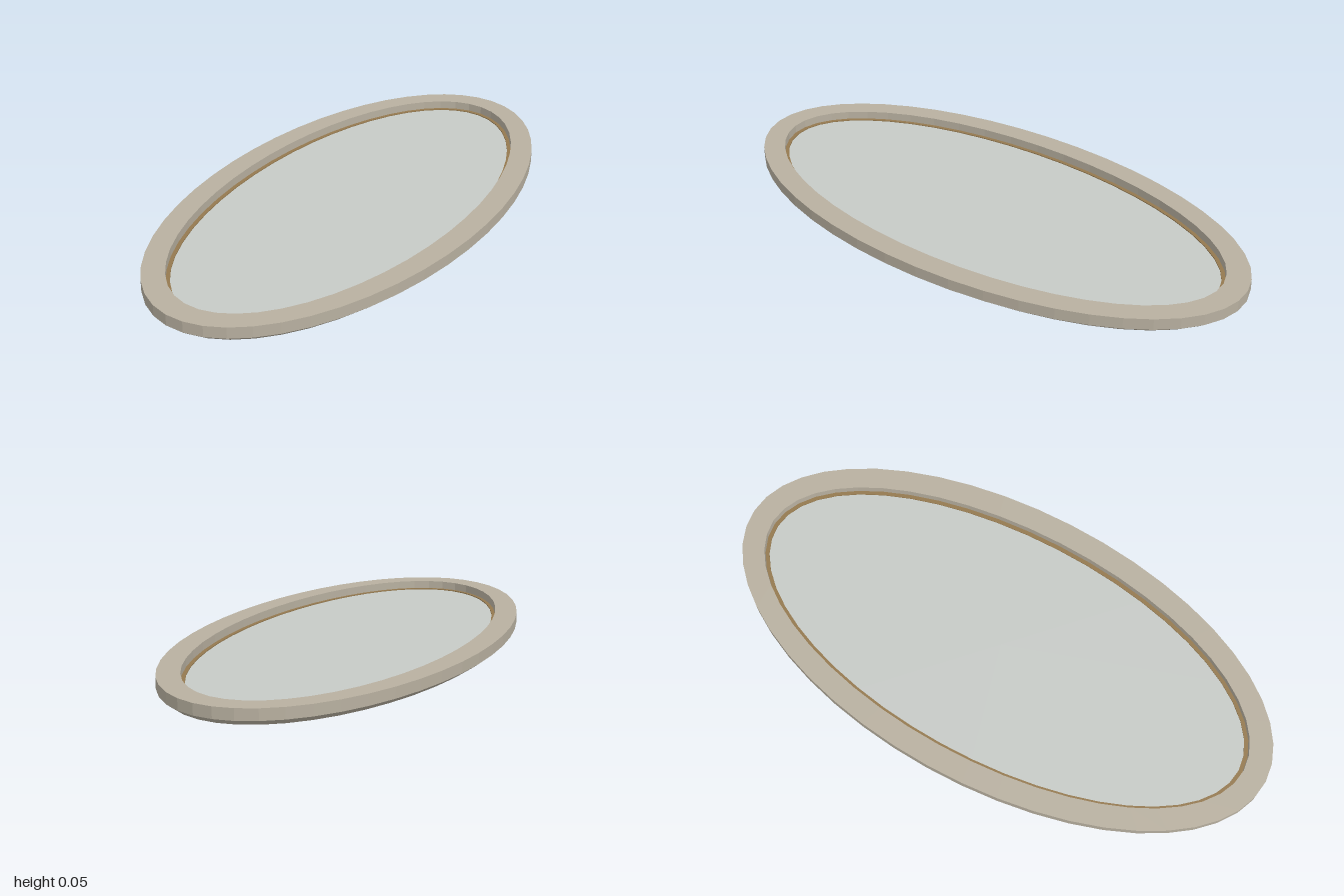
import * as THREE from 'three';

const SEGMENTS = 48;
const HALF_X = 0.5, HALF_Z = 1;

// Sweep a closed profile of [inset, y] points round the ellipse, with flat facets
function ovalRing(profile) {
  const at = (i, [inset, y]) => {
    const t = (i % SEGMENTS) / SEGMENTS * Math.PI * 2;
    return [(HALF_X - inset) * Math.cos(t), y, (HALF_Z - inset) * Math.sin(t)];
  };
  const positions = [];
  for (let i = 0; i < SEGMENTS; i++) {
    profile.forEach((p, j) => {
      const q = profile[(j + 1) % profile.length];
      const a = at(i, p), b = at(i, q), c = at(i + 1, p), d = at(i + 1, q);
      positions.push(...a, ...c, ...b, ...b, ...c, ...d);
    });
  }
  const geometry = new THREE.BufferGeometry();
  geometry.setAttribute('position', new THREE.Float32BufferAttribute(positions, 3));
  geometry.computeVertexNormals();
  return geometry;
}

// Rectangular ring between two insets and two heights
const bandRing = (outer, inner, bottom, top) =>
  ovalRing([[inner, top], [outer, top], [outer, bottom], [inner, bottom]]);

export function createModel() {
  const material = (name, color) => {
    const m = new THREE.MeshStandardMaterial({ color });
    m.name = name;
    return m;
  };
  const stone = material('warm grey frame', 0xb8b0a0);
  const pale = material('pale grey panel', 0xc6cac6);
  const brass = material('dull brass', 0x94794f);
  const rust = material('rust brown', 0x8a4a2e);

  const group = new THREE.Group();
  group.name = 'ovalPanel';
  const add = (name, geometry, mat) => {
    const mesh = new THREE.Mesh(geometry, mat);
    mesh.name = name;
    group.add(mesh);
    return mesh;
  };

  // Frame with a chamfered lower edge
  add('frame', ovalRing([
    [0.08, 0.055], [0, 0.055], [0, 0.018], [0.025, 0], [0.08, 0],
  ]), stone);

  // Recessed oval panel
  const panel = new THREE.CylinderGeometry(1, 1, 0.01, SEGMENTS);
  panel.scale(HALF_X - 0.081, 1, HALF_Z - 0.081);
  add('panel', panel, pale).position.y = 0.019;

  // Trim on top of the panel and seat ring underneath it
  add('innerTrim', bandRing(0.079, 0.094, 0.02, 0.027), brass);
  add('seatRing', bandRing(0.079, 0.094, 0.002, 0.015), rust);

  // Thin crossbars under the panel
  for (const z of [-0.5, 0, 0.5]) {
    const reach = (HALF_X - 0.09) * Math.sqrt(1 - (z / (HALF_Z - 0.09)) ** 2);
    add('crossbar', new THREE.BoxGeometry(reach * 2, 0.004, 0.012), brass)
      .position.set(0, 0.0125, z);
  }
  return group;
}
